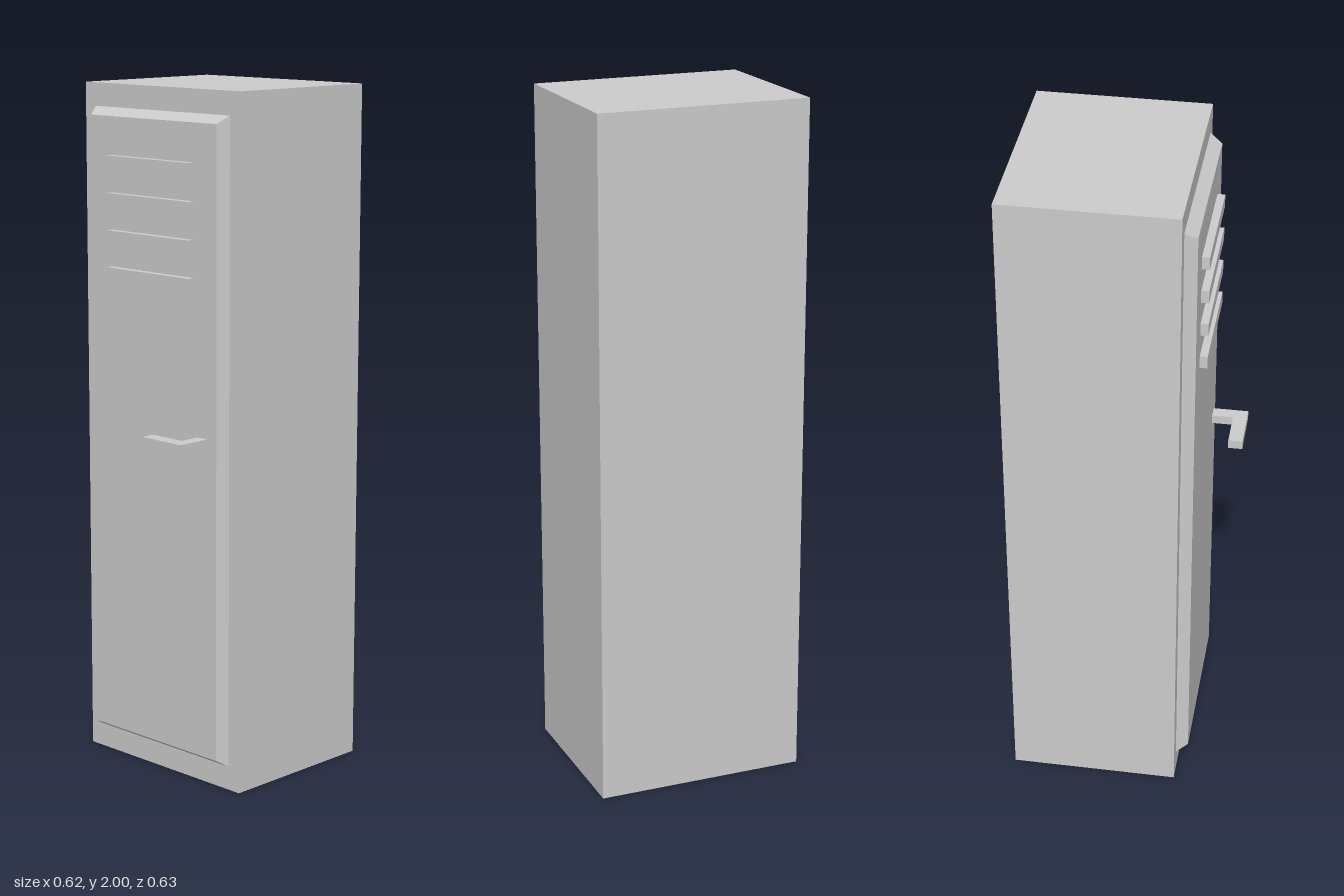
import * as THREE from 'three';

const material = new THREE.MeshStandardMaterial({ color: 0xcccccc, flatShading: true });

function addMesh(parent, name, geometry) {
  const mesh = new THREE.Mesh(geometry, material);
  mesh.name = name;
  parent.add(mesh);
  return mesh;
}

function addBox(parent, name, [x0, x1], [y0, y1], [z0, z1]) {
  const mesh = addMesh(parent, name, new THREE.BoxGeometry(x1 - x0, y1 - y0, z1 - z0));
  mesh.position.set((x0 + x1) / 2, (y0 + y1) / 2, (z0 + z1) / 2);
  return mesh;
}

export function createModel() {
  const locker = new THREE.Group();
  locker.name = 'locker';
  const bodyFront = 0.178, doorFront = 0.213;

  // Cabinet body
  addBox(locker, 'cabinet', [-0.31, 0.31], [0, 2], [-0.318, bodyFront]);

  // Raised door: its front face is pulled in to form bevelled edges
  const door = addBox(locker, 'door', [-0.268, 0.268], [0.07, 1.933], [bodyFront, doorFront]);
  const p = door.geometry.attributes.position;
  for (let i = 0; i < p.count; i++) {
    if (p.getZ(i) > 0) {
      p.setX(i, p.getX(i) - Math.sign(p.getX(i)) * 0.016);
      p.setY(i, p.getY(i) - Math.sign(p.getY(i)) * 0.022);
    }
  }
  door.geometry.computeVertexNormals();

  // Four vent slats
  const vents = new THREE.Group();
  vents.name = 'vents';
  locker.add(vents);
  for (let i = 0; i < 4; i++) {
    const y = 1.444 + i * 0.1065;
    addBox(vents, 'ventSlat', [-0.166, 0.164], [y, y + 0.038], [doorFront, 0.235]);
  }

  // L-shaped handle, outlined in plan (x, -z) and extruded upwards
  const outline = [[0.178, 0.213], [0.216, 0.213], [0.216, 0.317], [0.063, 0.317], [0.063, 0.275], [0.178, 0.275]];
  const shape = new THREE.Shape(outline.map(([x, z]) => new THREE.Vector2(x, -z)));
  const handle = addMesh(locker, 'handle', new THREE.ExtrudeGeometry(shape, { depth: 0.027, bevelEnabled: false }));
  handle.rotation.x = -Math.PI / 2;
  handle.position.y = 1.005;

  return locker;
}
